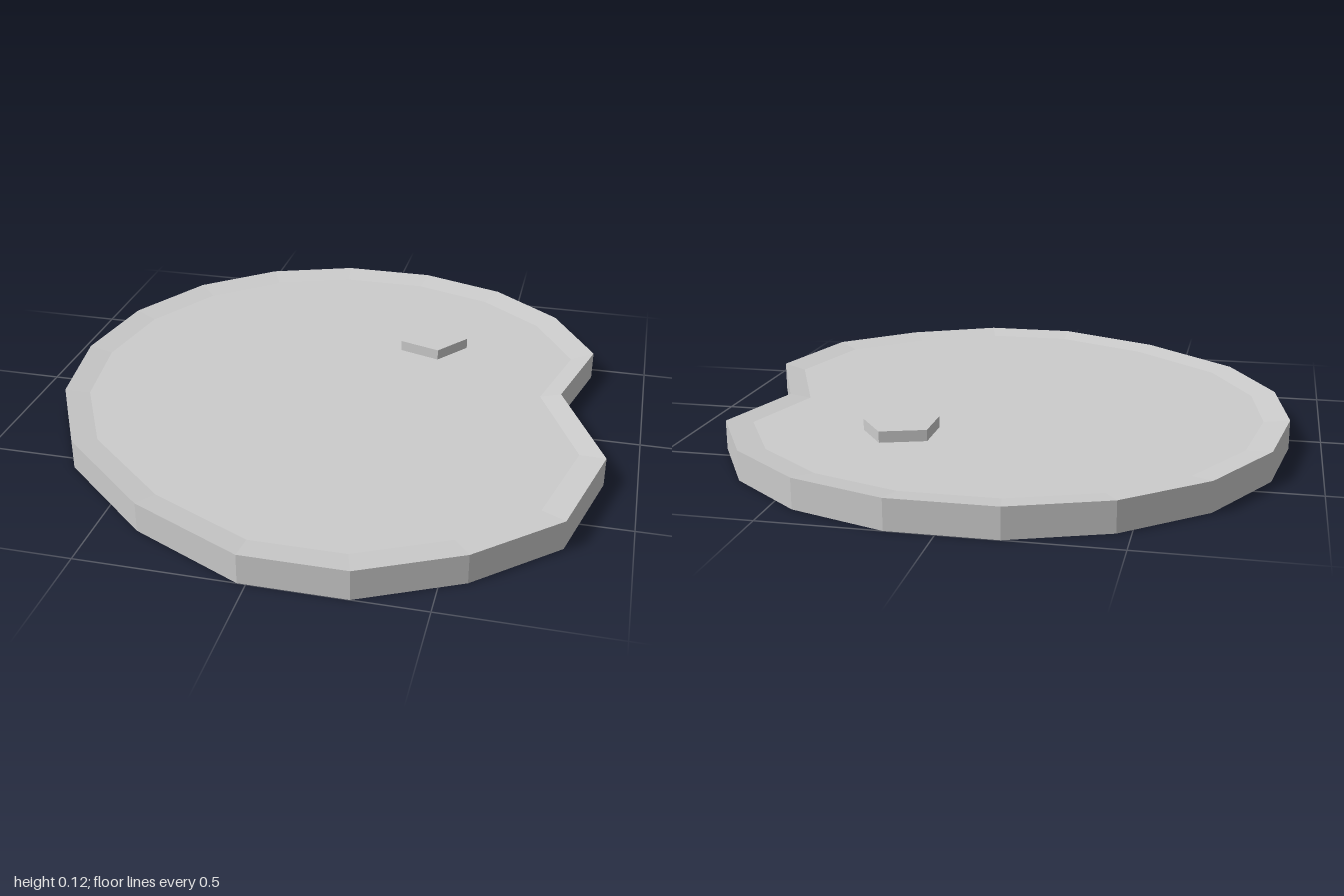
import * as THREE from 'three';

// Outline of the slab seen from above, as [x, z]
const OUTLINE = [
  [-0.175, -1], [0.14, -1], [0.43, -0.9], [0.665, -0.71], [0.82, -0.44],
  [0.735, -0.11], // notch
  [0.9, 0.27], [0.81, 0.635], [0.575, 0.855], [0.285, 1], [-0.025, 1],
  [-0.375, 0.83], [-0.69, 0.55], [-0.85, 0.24], [-0.9, -0.085],
  [-0.85, -0.41], [-0.695, -0.695], [-0.46, -0.895],
];

// Cross-section from the centre of the underside to the centre of the top, as [scale, y]
const SECTION = [[0, 0], [1, 0], [1, 0.092], [0.91, 0.08], [0, 0.08]];

// Sweeps the scaled outline through the section
function loftGeometry(outline, section) {
  const positions = [];
  const corner = (i, [scale, y]) => {
    const [x, z] = outline[i % outline.length];
    return [x * scale, y, z * scale];
  };
  for (let s = 0; s < section.length - 1; s++) {
    const low = section[s], high = section[s + 1];
    for (let i = 0; i < outline.length; i++) {
      const a = corner(i, low), b = corner(i + 1, low);
      const c = corner(i + 1, high), d = corner(i, high);
      if (high[0] > 0) positions.push(...a, ...d, ...c);
      if (low[0] > 0) positions.push(...a, ...c, ...b);
    }
  }
  const geometry = new THREE.BufferGeometry();
  geometry.setAttribute('position', new THREE.Float32BufferAttribute(positions, 3));
  geometry.computeVertexNormals();
  return geometry;
}

export function createModel() {
  const group = new THREE.Group();
  const material = new THREE.MeshStandardMaterial({ color: 0xcccccc, flatShading: true });

  // Thin notched slab with a shallow dished top
  const pad = new THREE.Mesh(loftGeometry(OUTLINE, SECTION), material);
  pad.name = 'notchedPad';
  group.add(pad);

  // Small five-sided stud resting in the dish, one corner towards +x
  const stud = new THREE.Mesh(
    new THREE.CylinderGeometry(0.122, 0.122, 0.037, 5, 1, false, Math.PI / 2), material);
  stud.name = 'stud';
  stud.position.set(0.26, 0.0965, -0.407);
  group.add(stud);

  return group;
}
